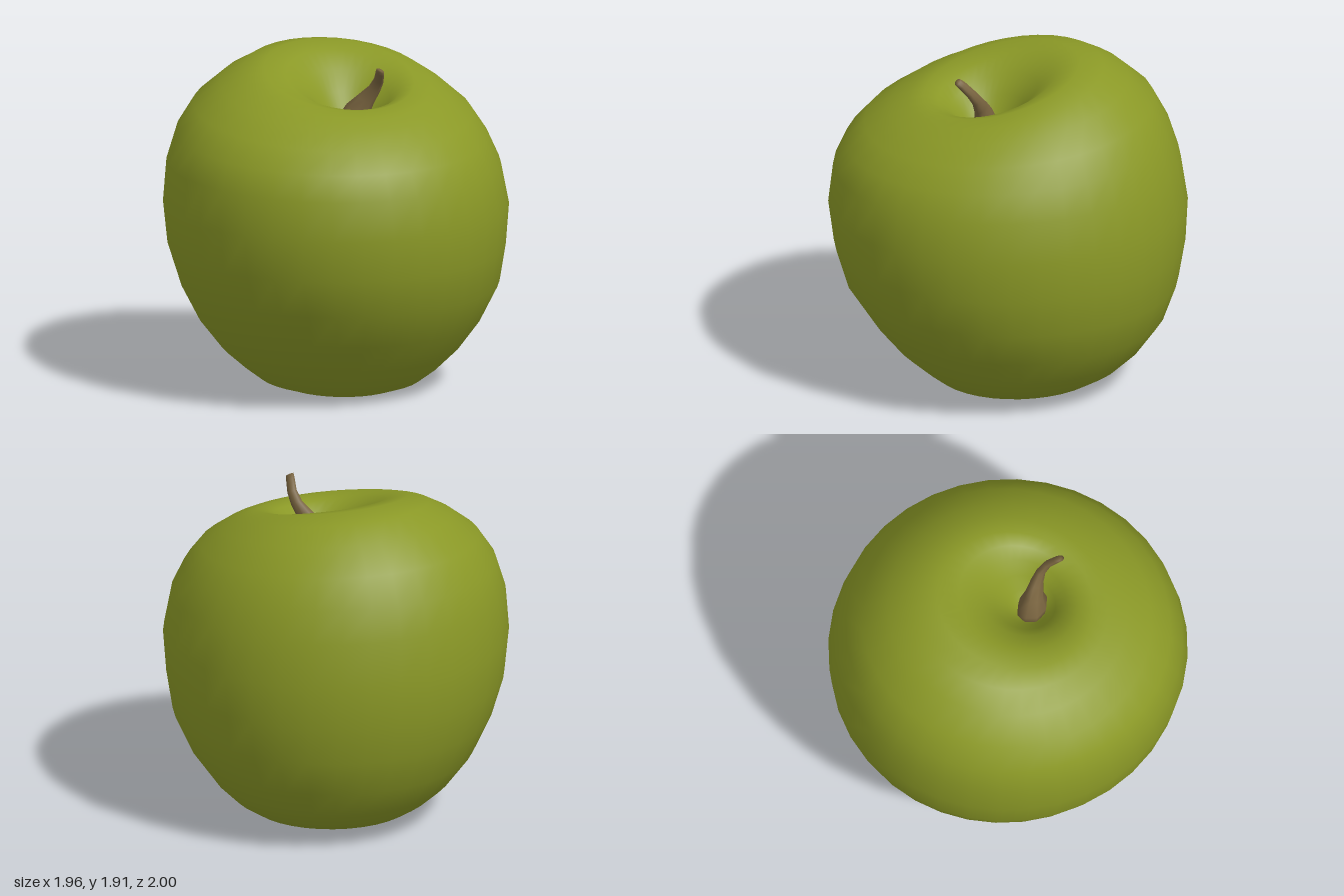
import * as THREE from 'three';

const SIDES = 36;

// Closed skin through a stack of rings of points, with a single point at each end.
function skin(rings, start, end) {
  const n = rings[0].length;
  const points = [start, ...rings.flat(), end];
  const last = points.length - 1;
  const index = [];
  for (let j = 0; j < n; j++) {
    const k = (j + 1) % n;
    index.push(0, 1 + j, 1 + k);
    for (let i = 0; i < rings.length - 1; i++) {
      const a = 1 + i * n + j, b = 1 + i * n + k;
      index.push(a, a + n, b, b, a + n, b + n);
    }
    index.push(last, last - n + k, last - n + j);
  }
  const geometry = new THREE.BufferGeometry().setFromPoints(points);
  geometry.setIndex(index);
  geometry.computeVertexNormals();
  return geometry;
}

// Fruit: radius, height, lean of the ring, centre x, centre z
const PROFILE = [
  [0.05, 0.19, 0.00, 0.00, -0.05],
  [0.11, 0.15, 0.05, 0.00, -0.05],
  [0.18, 0.08, 0.10, 0.00, -0.05],
  [0.26, 0.035, 0.15, 0.00, -0.05],
  [0.36, 0.02, 0.15, 0.00, -0.06],
  [0.47, 0.05, 0.10, 0.00, -0.07],
  [0.57, 0.12, 0.05, 0.00, -0.08],
  [0.68, 0.22, 0.00, 0.00, -0.07],
  [0.81, 0.39, 0.00, 0.00, -0.06],
  [0.915, 0.60, 0.00, 0.01, -0.03],
  [0.968, 0.82, 0.00, 0.00, -0.01],
  [0.99, 1.06, 0.05, 0.00, 0.00],
  [0.957, 1.30, 0.20, -0.01, 0.01],
  [0.895, 1.46, 0.40, -0.02, 0.01],
  [0.80, 1.60, 0.65, -0.02, 0.00],
  [0.66, 1.71, 0.85, -0.01, 0.00],
  [0.54, 1.775, 1.00, 0.01, 0.01],
  [0.43, 1.80, 1.00, 0.03, 0.03],
  [0.33, 1.775, 0.90, 0.06, 0.04],
  [0.24, 1.71, 0.70, 0.09, 0.05],
  [0.17, 1.62, 0.50, 0.10, 0.06],
  [0.11, 1.53, 0.30, 0.11, 0.07],
  [0.05, 1.47, 0.10, 0.11, 0.07],
];

function fruitGeometry() {
  const rings = PROFILE.map(([r, y, lean, cx, cz]) =>
    Array.from({ length: SIDES }, (_, j) => {
      const a = (j / SIDES) * Math.PI * 2;
      const rr = r * (1 + 0.02 * Math.cos(2 * (a - 1.08))); // slightly oval
      return new THREE.Vector3(
        cx + rr * Math.cos(a),
        y - 0.11 * lean * Math.cos(a - 0.8),
        cz + rr * Math.sin(a));
    }));
  return skin(rings, new THREE.Vector3(0, 0.2, -0.05), new THREE.Vector3(0.11, 1.46, 0.07));
}

// Bent stalk that flares at the foot: x, y, z, radius
const STALK = [
  [0.12, 1.47, 0.09, 0.10],
  [0.135, 1.55, 0.095, 0.10],
  [0.165, 1.62, 0.09, 0.065],
  [0.215, 1.69, 0.085, 0.045],
  [0.265, 1.75, 0.09, 0.032],
  [0.30, 1.805, 0.115, 0.027],
  [0.325, 1.86, 0.16, 0.025],
  [0.335, 1.88, 0.18, 0.022],
];

function stalkGeometry() {
  const n = 8;
  const rings = STALK.map(([x, y, z, r], i) =>
    Array.from({ length: n }, (_, j) => {
      const a = (j / n) * Math.PI * 2;
      const dx = r * Math.cos(a), dz = 0.8 * r * Math.sin(a);
      const slope = i > 1 ? 0.5 : 0.1; // rings tip over with the bend
      return new THREE.Vector3(x + dx, y - slope * (dx + 0.5 * dz), z + dz);
    }));
  return skin(rings, new THREE.Vector3(0.12, 1.46, 0.09), new THREE.Vector3(0.336, 1.882, 0.182));
}

// Dried blossom end: a small ridged knob
function blossomGeometry() {
  const rings = [[0.045, 0.09], [0.07, 0.115], [0.06, 0.15], [0.075, 0.21]].map(([r, y]) =>
    Array.from({ length: 10 }, (_, j) => {
      const a = (j / 10) * Math.PI * 2;
      const rr = r * (j % 2 ? 0.8 : 1);
      return new THREE.Vector3(rr * Math.cos(a), y, -0.05 + rr * Math.sin(a));
    }));
  return skin(rings, new THREE.Vector3(0, 0.1, -0.05), new THREE.Vector3(0, 0.22, -0.05));
}

export function createModel() {
  const green = new THREE.MeshStandardMaterial({ color: 0x8a9826 });
  green.name = 'green skin';
  const brown = new THREE.MeshStandardMaterial({ color: 0x78633f });
  brown.name = 'brown wood';

  const model = new THREE.Group();
  model.name = 'apple';
  const add = (name, geometry, material) => {
    const mesh = new THREE.Mesh(geometry, material);
    mesh.name = name;
    model.add(mesh);
  };
  add('fruit', fruitGeometry(), green);
  add('stalk', stalkGeometry(), brown);
  add('blossomEnd', blossomGeometry(), brown);
  return model;
}
